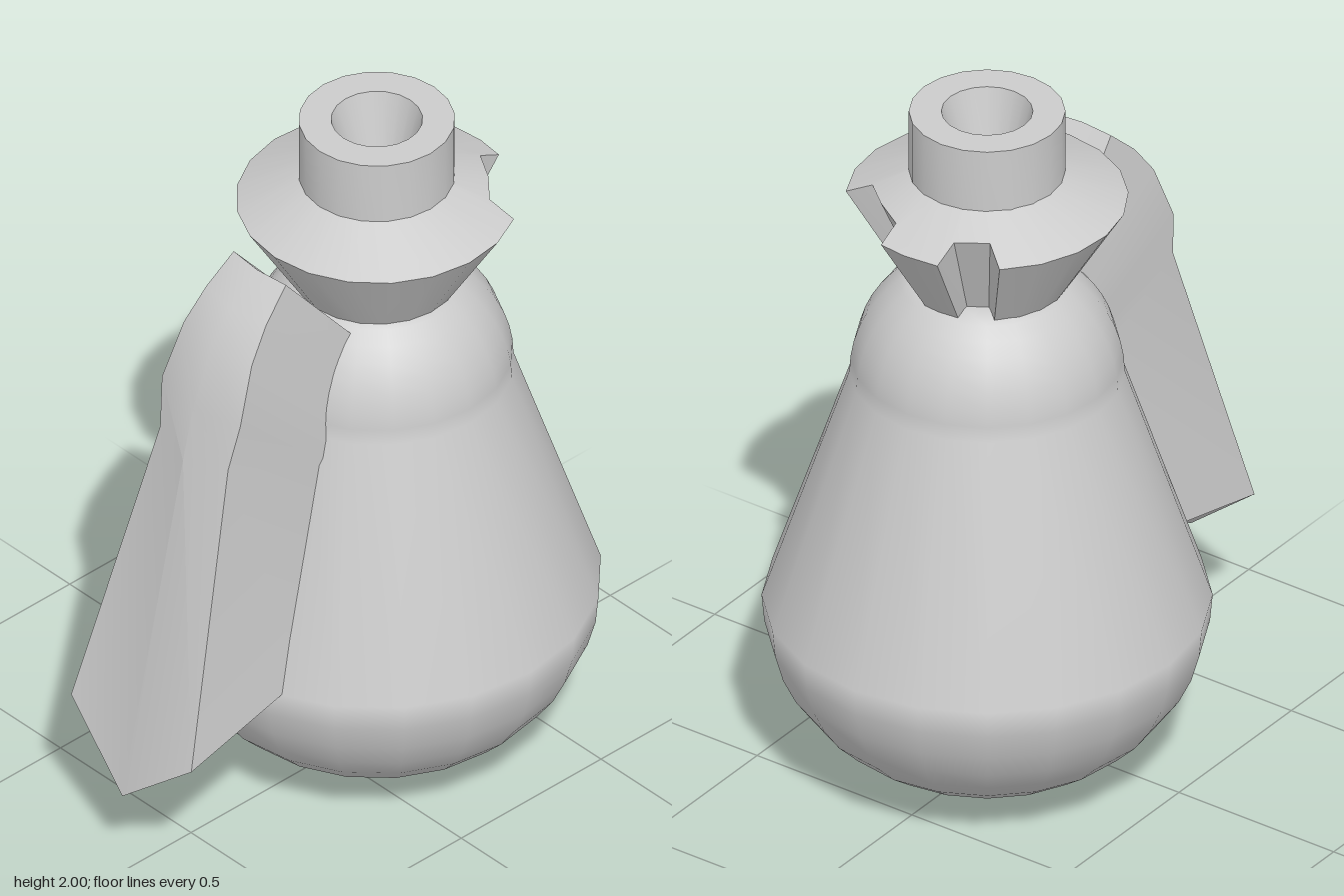
import * as THREE from 'three';
import { toCreasedNormals } from 'three/addons/utils/BufferGeometryUtils.js';

const SEGMENTS = 20;
const AXIS_Z = -0.165;
const material = new THREE.MeshStandardMaterial({ color: 0xcccccc });

function add(group, name, geometry, z = 0) {
  const mesh = new THREE.Mesh(geometry, material);
  mesh.name = name;
  mesh.position.z = z;
  group.add(mesh);
}

function turned(points) {
  return new THREE.LatheGeometry(points.map(([r, y]) => new THREE.Vector2(r, y)), SEGMENTS);
}

// Skin over closed rings of points, lowest ring first, each clockwise from above
function loft(rings, capped, crease) {
  const n = rings[0].length;
  const last = (rings.length - 1) * n;
  const index = [];
  for (let i = 0; i < rings.length - 1; i++) {
    for (let j = 0; j < n; j++) {
      const a = i * n + j, b = i * n + (j + 1) % n;
      index.push(a, a + n, b + n, a, b + n, b);
    }
  }
  if (capped) {
    for (let k = 2; k < n; k++) {
      const p = k, q = (k + 1) % n;
      index.push(1, p, q, last + 1, last + q, last + p);
    }
  }
  const geometry = new THREE.BufferGeometry();
  geometry.setAttribute('position', new THREE.Float32BufferAttribute(rings.flat(2), 3));
  geometry.setIndex(index);
  return toCreasedNormals(geometry, crease);
}

// Round bottom, tapering sides and domed shoulder
function bodyGeometry() {
  const points = [];
  for (let i = 0; i <= 10; i++) {
    const t = (i / 10) * Math.PI / 2;
    points.push([0.59 * Math.sin(t), 0.51 - 0.51 * Math.cos(t)]);
  }
  for (let i = 0; i <= 8; i++) {
    const t = (i / 8) * 1.0;
    points.push([0.36 * Math.cos(t), 1.2 + 0.365 * Math.sin(t)]);
  }
  points.push([0, 1.52]);
  return turned(points);
}

// Flared collar with two notches beside a tab at the back
function collarGeometry() {
  // [angle from the back, rim radius]
  const rim = [
    [-0.716, 0.37], [-0.653, 0.297], [-0.337, 0.302], [-0.27, 0.372],
    [0, 0.37], [0.22, 0.37], [0.27, 0.305], [0.6, 0.295], [0.927, 0.3],
  ];
  const start = 0.998, end = 2 * Math.PI - 0.716, steps = 15;
  for (let i = 0; i < steps; i++) rim.push([start + (end - start) * i / steps, 0.37]);

  const at = (a, r, y) => [r * Math.sin(a), y, -r * Math.cos(a)];
  return loft([
    rim.map(([a, r]) => at(a, r * 0.57, 1.48)),
    rim.map(([a, r]) => at(a, r, 1.74 + (0.37 - r) * 0.5)),
    rim.map(([a]) => at(a, 0.2, 1.82)),
  ], false, 0.45);
}

// Hanging flap: wide pointed end, narrowing up to a curved top
function flapGeometry() {
  // [edge y, half width, edge z, middle y, middle z]
  const rows = [
    [0.45, 0.23, 0.725, 0.26, 0.757],
    [1.27, 0.13, 0.50, 1.25, 0.54],
    [1.41, 0.15, 0.475, 1.40, 0.505],
    [1.57, 0.13, 0.415, 1.57, 0.44],
    [1.66, 0.115, 0.35, 1.66, 0.37],
    [1.74, 0.10, 0.265, 1.74, 0.275],
  ];
  const cx = 0.012;
  const rings = rows.map(([y, w, z, midY, midZ]) => {
    const t = (y - 0.45) / 1.29;
    const backY = 0.525 + t * 0.895, backZ = 0.3 - t * 0.3, backW = 0.2 - t * 0.09;
    return [
      [cx - backW, backY, backZ],
      [cx, backY + 0.055 * (1 - t), backZ],
      [cx + backW, backY, backZ],
      [cx + w, y, z],
      [cx, midY, midZ],
      [cx - w, y, z],
    ];
  });
  return loft(rings, true, 0.45);
}

export function createModel() {
  const group = new THREE.Group();
  add(group, 'body', bodyGeometry(), AXIS_Z);
  add(group, 'collar', collarGeometry(), AXIS_Z);

  // Neck with a tapered blind hole
  const neck = turned([[0.205, 1.79], [0.205, 2], [0.12, 2], [0.065, 1.8], [0, 1.8]]);
  add(group, 'neck', toCreasedNormals(neck, 0.5), AXIS_Z);

  add(group, 'flap', flapGeometry());
  return group;
}
